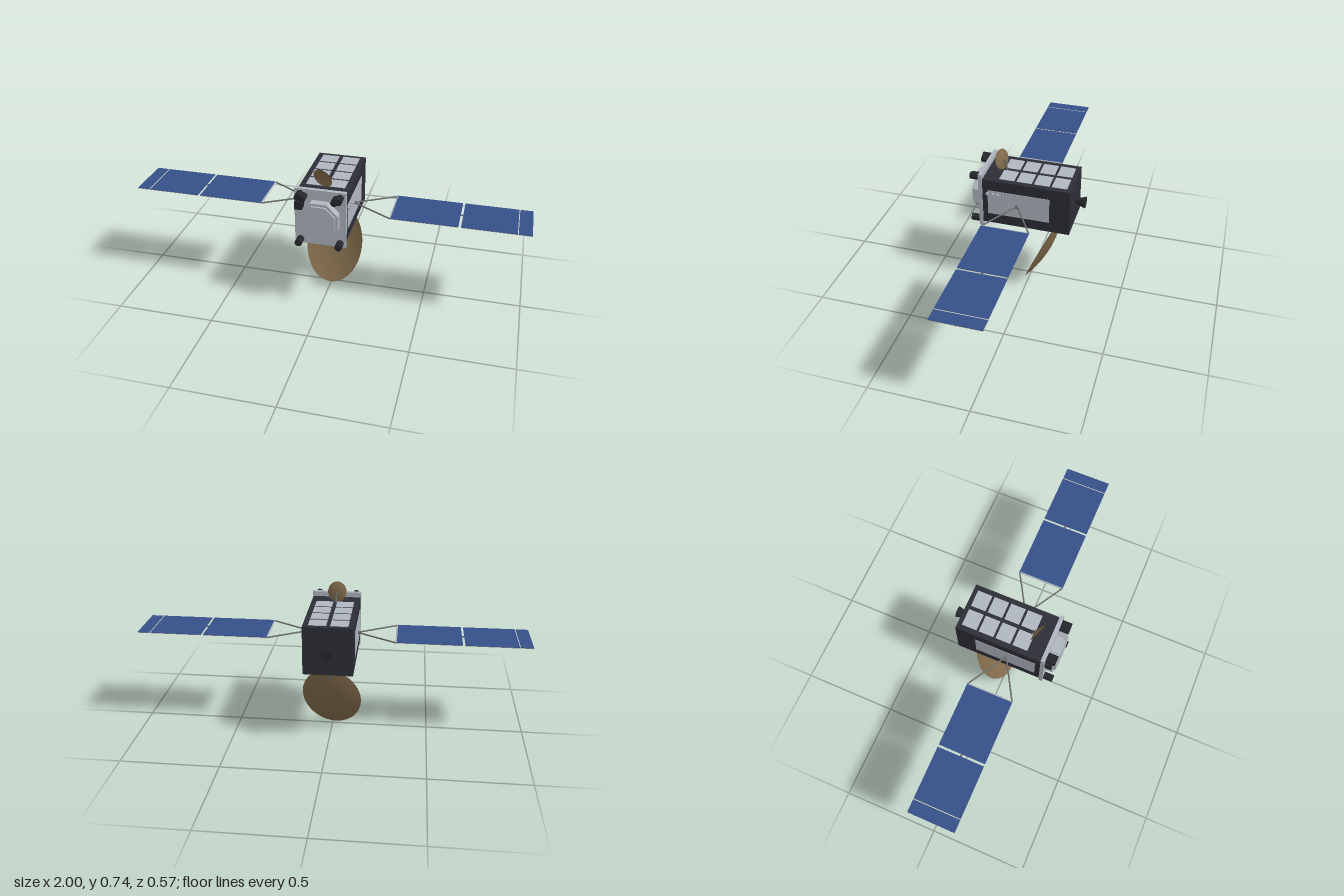
import * as THREE from 'three';

const mat = (name, color) => Object.assign(new THREE.MeshStandardMaterial({ color }), { name });

export function createModel() {
  const root = new THREE.Group();
  root.name = 'satellite';
  const dark = mat('bodyDark', 0x2d2d37);
  const black = mat('thrusterBlack', 0x26272b);
  const light = mat('panelGrey', 0xb0b6c0);
  const blue = mat('cellBlue', 0x35508a);
  const strut = mat('strutGrey', 0x6c6e72);
  const bronze = mat('dishBronze', 0x806a4a);
  bronze.side = THREE.DoubleSide;
  const cream = mat('seamCream', 0xcfcbb8);

  const add = (name, geo, material, x = 0, y = 0, z = 0, parent = root) => {
    const m = new THREE.Mesh(geo, material);
    m.name = name;
    m.position.set(x, y, z);
    parent.add(m);
    return m;
  };
  const box = (name, w, h, d, material, x, y, z, parent) =>
    add(name, new THREE.BoxGeometry(w, h, d), material, x, y, z, parent);
  // cylinder along z: r1 at the front end, r2 at the back end
  const zCyl = (name, r1, r2, len, material, x, y, z, sides = 20) =>
    add(name, new THREE.CylinderGeometry(r1, r2, len, sides).rotateX(Math.PI / 2), material, x, y, z);
  // round bar between two points
  const rod = (name, a, b, r, material, parent) => {
    const p = new THREE.Vector3(...a), q = new THREE.Vector3(...b);
    const d = q.clone().sub(p);
    const m = add(name, new THREE.CylinderGeometry(r, r, d.length(), 10), material, 0, 0, 0, parent);
    m.position.copy(p).add(q).multiplyScalar(0.5);
    m.quaternion.setFromUnitVectors(new THREE.Vector3(0, 1, 0), d.normalize());
    return m;
  };

  // body and front deck
  box('body', 0.25, 0.25, 0.447, dark, 0, 0.516, -0.0065);
  box('frontDeck', 0.256, 0.3, 0.02, light, 0, 0.517, 0.227);

  // stepped octagonal adapter
  const octagon = (name, apothem, len, z) => {
    const geo = new THREE.CylinderGeometry(1, 1, len, 8).toNonIndexed();
    geo.rotateY(Math.PI / 8).rotateX(Math.PI / 2);
    const r = apothem / Math.cos(Math.PI / 8);
    geo.scale(r, r, 1);
    geo.computeVertexNormals();
    add(name, geo, light, 0, 0.516, z);
  };
  octagon('adapterRing', 0.097, 0.038, 0.256);
  octagon('adapterCap', 0.084, 0.01, 0.28);

  // radiator tiles above and below, large plates on the sides
  for (const sy of [-1, 1])
    for (const x of [-0.054, 0.054])
      for (let i = 0; i < 4; i++)
        box('radiatorTile', 0.088, 0.004, 0.077, light, x, 0.516 + sy * 0.125, 0.098 - i * 0.089);
  for (const s of [-1, 1])
    box('sidePlate', 0.004, 0.137, 0.317, light, s * 0.125, 0.5155, 0.0315);

  // corner thrusters, sensor and main nozzle
  for (const s of [-1, 1]) {
    zCyl('upperThruster', 0.018, 0.018, 0.048, black, s * 0.099, 0.641, 0.261);
    zCyl('innerThruster', 0.017, 0.017, 0.048, black, s * 0.079, 0.633, 0.261);
    zCyl('lowerThruster', 0.018, 0.018, 0.048, black, s * 0.1, 0.39, 0.261);
  }
  box('sensor', 0.04, 0.042, 0.034, black, -0.1, 0.59, 0.254);
  zCyl('mainNozzle', 0.011, 0.03, 0.053, black, 0, 0.515, -0.2565, 28);

  // three small fittings on the left side
  for (const z of [0.19, 0.163, 0.137])
    add('sideFitting', new THREE.CylinderGeometry(0.007, 0.007, 0.014, 14).rotateZ(Math.PI / 2),
      light, 0.131, 0.567, z);

  // solar wings, mirrored by turning about the yoke axis
  for (const s of [-1, 1]) {
    const wing = new THREE.Group();
    wing.name = s > 0 ? 'leftWing' : 'rightWing';
    wing.position.set(0, 0.515, 0.038);
    wing.rotation.y = s > 0 ? 0 : Math.PI;
    root.add(wing);
    const tip = 0.118;
    for (const sz of [-1, 1])
      rod('yokeArm', [0.124, 0, 0], [0.327, 0, sz * tip], 0.004, strut, wing);
    rod('yokeBar', [0.327, 0, -tip], [0.327, 0, tip], 0.004, light, wing);
    rod('hingeMount', [0.12, 0, 0], [0.137, 0, 0], 0.008, strut, wing);
    for (const [x0, x1] of [[0.328, 0.656], [0.668, 1]]) {
      const w = x1 - x0, c = (x0 + x1) / 2;
      box('panelBack', w, 0.003, 0.24, light, c, -0.0005, 0, wing);
      box('solarCells', w, 0.002, 0.24, blue, c, 0.002, 0, wing);
      box('panelSpine', w, 0.002, 0.007, strut, c, -0.003, 0, wing);
    }
    box('panelHinge', 0.016, 0.004, 0.01, strut, 0.662, 0, 0, wing);
    box('cellSeam', 0.004, 0.001, 0.24, cream, 0.934, 0.003, 0, wing);
  }

  // paraboloid dish: u and v span the rim plane, the bowl opens along u x v
  const dish = (name, center, u, v, ru, rv, depth) => {
    const profile = [];
    for (let i = 0; i <= 12; i++) {
      const r = i / 12;
      profile.push(new THREE.Vector2(r, depth * (r * r - 1)));
    }
    const geo = new THREE.LatheGeometry(profile, 48).scale(ru, 1, rv);
    const ux = new THREE.Vector3(...u).normalize();
    const n = new THREE.Vector3().crossVectors(ux, new THREE.Vector3(...v)).normalize();
    const w = new THREE.Vector3().crossVectors(ux, n);
    const m = add(name, geo, bronze, ...center);
    m.quaternion.setFromRotationMatrix(new THREE.Matrix4().makeBasis(ux, n, w));
  };
  dish('mainDish', [-0.003, 0.193, -0.068], [0.305, 0, 0.025], [0, 0.383, -0.177], 0.153, 0.211, 0.036);
  dish('smallDish', [-0.008, 0.692, 0.154], [0.1, 0, 0.033], [0, 0.1, 0.03], 0.052, 0.052, 0.011);
  rod('smallDishMast', [-0.004, 0.694, 0.138], [-0.004, 0.638, 0.126], 0.005, strut);
  rod('mainDishFeed', [0, 0.392, -0.2], [0, 0.352, -0.185], 0.006, strut);

  return root;
}
